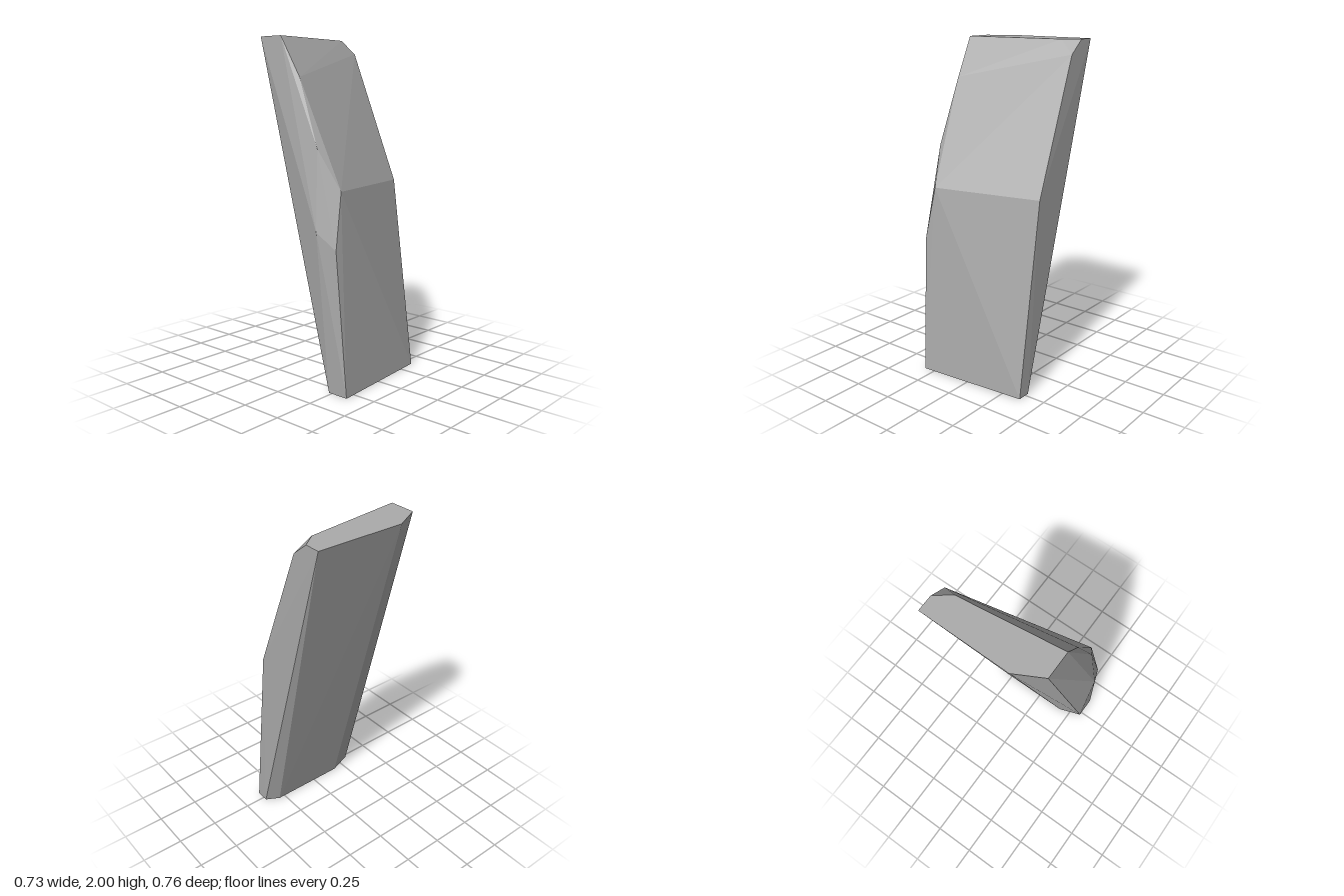
import * as THREE from 'three';
import { ConvexGeometry } from 'three/addons/geometries/ConvexGeometry.js';

export function createModel() {
  const group = new THREE.Group();
  group.name = 'leaningRock';
  const stone = new THREE.MeshStandardMaterial({ color: 0xaaaaaa });
  stone.name = 'greyStone';

  // Flat outlines of the top and the base, as [x, z]
  const top = [[-0.36, -0.365], [-0.365, 0.17], [-0.28, 0.33], [-0.12, 0.33], [-0.195, -0.275], [-0.265, -0.365]];
  const base = [[0.36, 0.32], [0.23, 0.32], [0.18, 0.18], [0.18, -0.29], [0.225, -0.37], [0.305, -0.37]];

  // Corners chipped out between them, as [x, y, z]
  const corners = [
    [-0.165, 1.92, -0.367], // top back chip
    [0.01, 1.77, 0.315], // upper front edge
    [0.16, 1.38, 0.335],
    [0.28, 1.15, 0.275], // ridge across the right side
    [0.145, 1.15, -0.38],
    [0.3, 0.83, 0.34], // lower front edge
    [0.19, 0.93, 0.38], // front bulge
  ];

  const points = [
    ...top.map(([x, z]) => new THREE.Vector3(x, 2, z)),
    ...base.map(([x, z]) => new THREE.Vector3(x, 0, z)),
    ...corners.map((c) => new THREE.Vector3(...c)),
  ];

  // Faceted stone slab spanning all the corners
  const slab = new THREE.Mesh(new ConvexGeometry(points), stone);
  slab.name = 'stoneSlab';
  group.add(slab);
  return group;
}
